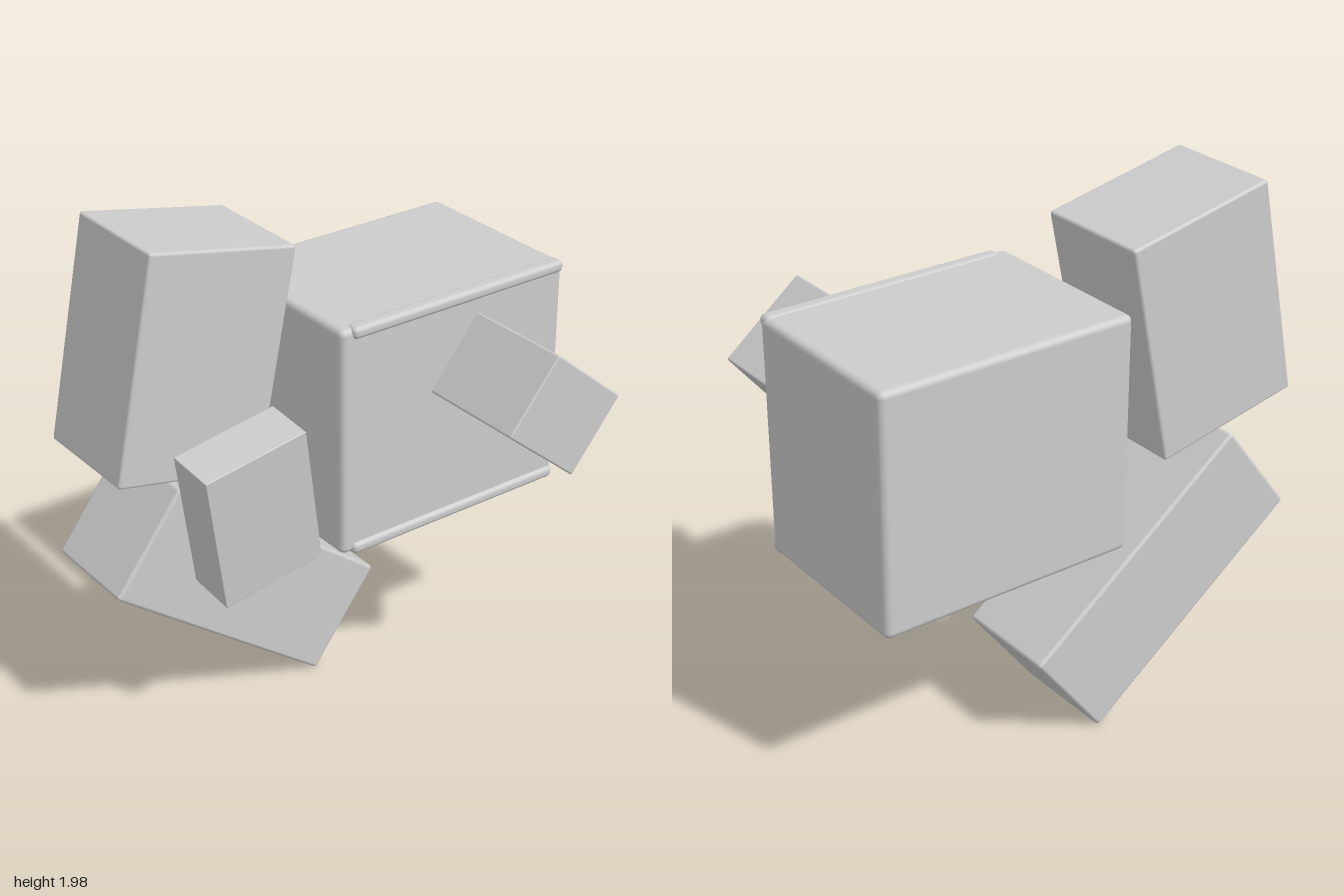
import * as THREE from 'three';
import { RoundedBoxGeometry } from 'three/addons/geometries/RoundedBoxGeometry.js';

const material = new THREE.MeshStandardMaterial({ color: 0xcccccc });

// Soft-edged box: size, centre, edge radius and rotation in degrees
function box(name, size, centre, radius, rollZ = 0, tiltX = 0) {
  const mesh = new THREE.Mesh(new RoundedBoxGeometry(...size, 3, radius), material);
  mesh.name = name;
  mesh.position.set(...centre);
  mesh.rotation.order = 'XYZ';
  mesh.rotation.set(THREE.MathUtils.degToRad(tiltX), 0, THREE.MathUtils.degToRad(rollZ));
  return mesh;
}

export function createModel() {
  const model = new THREE.Group();

  // Large crate with a rolled lip along its top and bottom front edges
  const crate = new THREE.Group();
  crate.name = 'largeCrate';
  crate.add(box('crateBody', [1.02, 0.91, 0.735], [0.37, 1.195, -0.217], 0.025));
  for (const [name, y] of [['topLip', 1.632], ['bottomLip', 0.757]]) {
    crate.add(box(name, [0.97, 0.048, 0.06], [0.39, y, 0.135], 0.02));
  }
  model.add(crate);

  // Small block standing out from the crate's front
  model.add(box('frontBlock', [0.4, 0.335, 0.47], [0.523, 1.297, 0.352], 0.008, -39.5));

  // Leaning blocks stacked beside the crate
  model.add(box('upperBlock', [0.604, 0.86, 0.463], [-0.515, 1.52, -0.353], 0.012, -11.8));
  model.add(box('middleBlock', [0.427, 0.585, 0.205], [-0.42, 0.965, -0.03], 0.004, 9.8, 4.8));
  model.add(box('lowerBlock', [1.1, 0.465, 0.42], [-0.33, 0.533, -0.375], 0.014, -37.5));

  return model;
}
